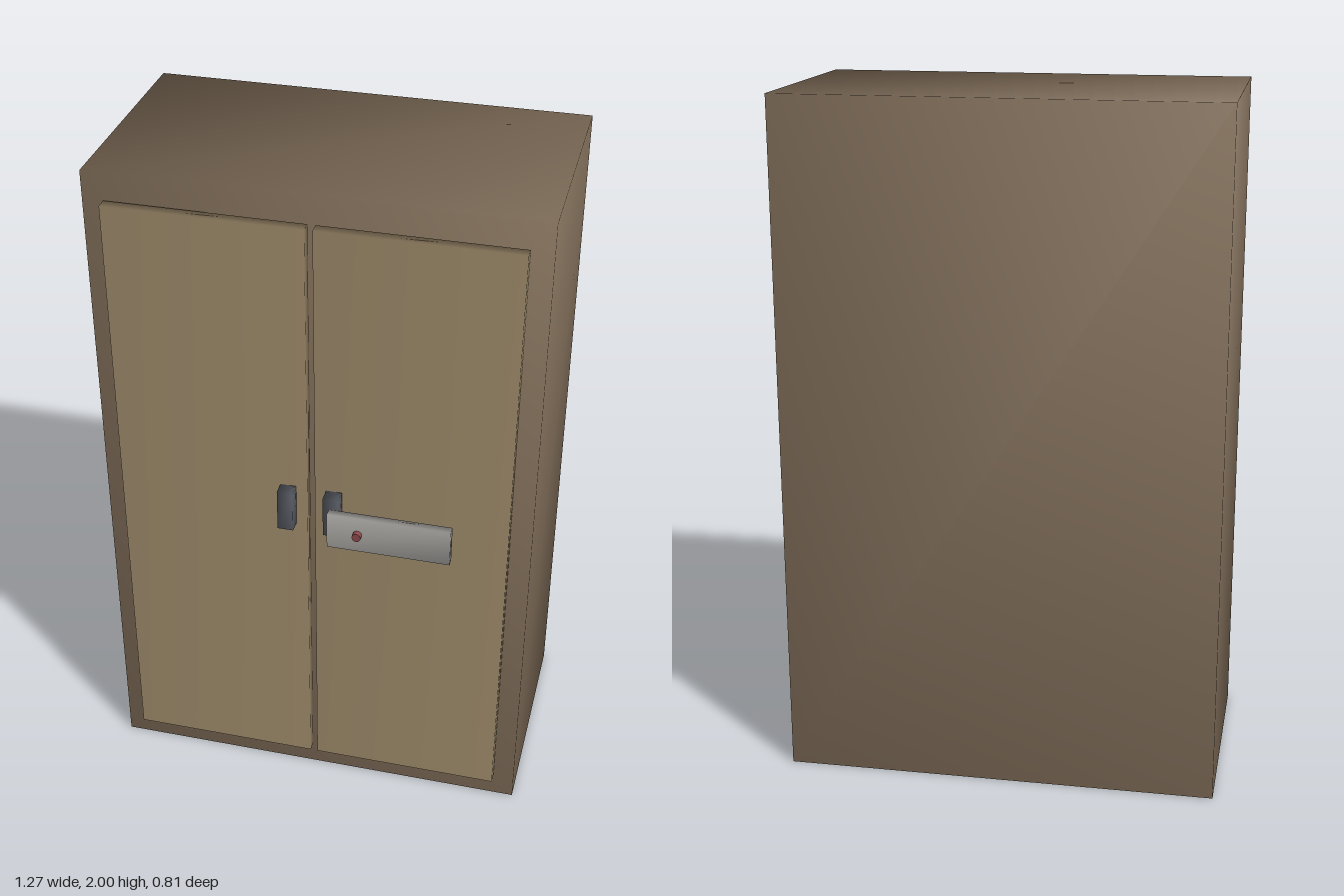
import * as THREE from 'three';
import { mergeVertices } from 'three/addons/utils/BufferGeometryUtils.js';

const paint = (color) => new THREE.MeshStandardMaterial({ color });

// Box given by its extents, with corners welded so the shading runs smoothly round them
function softBox(name, [x0, x1], [y0, y1], [z0, z1], material) {
  let geometry = new THREE.BoxGeometry(x1 - x0, y1 - y0, z1 - z0);
  geometry.deleteAttribute('normal');
  geometry.deleteAttribute('uv');
  geometry = mergeVertices(geometry);
  geometry.computeVertexNormals();
  const mesh = new THREE.Mesh(geometry, material);
  mesh.name = name;
  mesh.position.set((x0 + x1) / 2, (y0 + y1) / 2, (z0 + z1) / 2);
  return mesh;
}

export function createModel() {
  const cabinet = new THREE.Group();
  cabinet.name = 'cabinet';
  const bodyPaint = paint(0x8b7761);
  const doorPaint = paint(0xa08c6c);
  const handlePaint = paint(0x5a5e66);

  // Carcass
  cabinet.add(softBox('body', [-0.633, 0.633], [0, 2], [-0.403, 0.279], bodyPaint));

  // Double doors, each with an upright handle beside the middle gap
  for (const [side, s] of [['right', -1], ['left', 1]]) {
    const span = (a, b) => (s > 0 ? [a, b] : [-b, -a]);
    cabinet.add(softBox(side + 'Door', span(0.011, 0.571), [0.082, 1.922], [0.285, 0.318], doorPaint));
    cabinet.add(softBox(side + 'Handle', span(0.044, 0.09), [0.978, 1.106], [0.318, 0.358], handlePaint));
  }

  // Latch plate standing in front of the left handle
  cabinet.add(softBox('latchPlate', [0.063, 0.418], [0.962, 1.075], [0.362, 0.387], paint(0xaaa8a4)));

  // Small red button on the plate
  const button = new THREE.Mesh(new THREE.CylinderGeometry(0.013, 0.013, 0.016, 16), paint(0x8a4a4a));
  button.name = 'latchButton';
  button.rotation.x = Math.PI / 2;
  button.position.set(0.152, 1.02, 0.395);
  cabinet.add(button);

  return cabinet;
}
